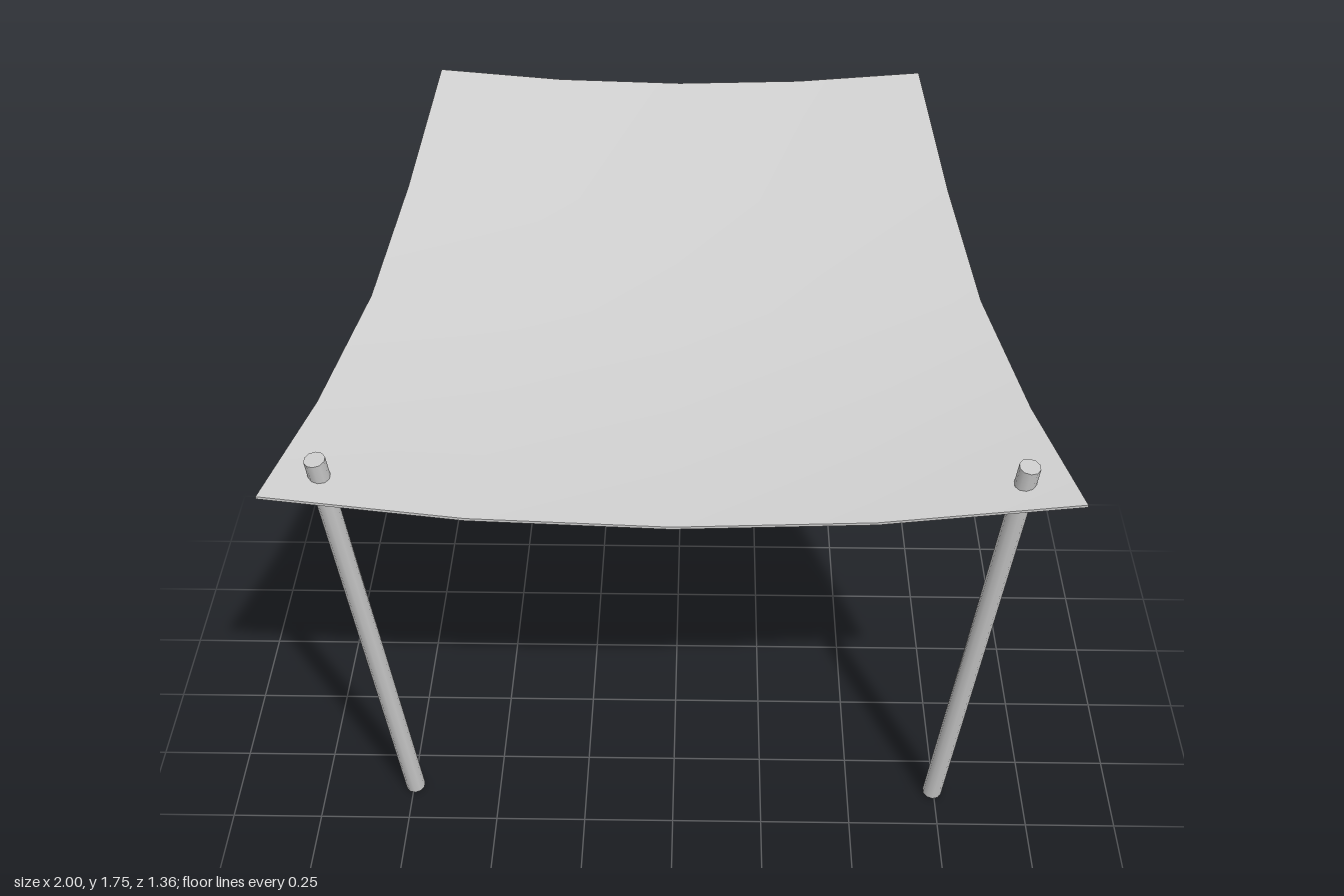
import * as THREE from 'three';

const material = new THREE.MeshStandardMaterial({ color: 0xcccccc });

// Rows of the canopy from front to back: z, half width, edge height, middle height
const ROWS = [
  [0.68, 1.0, 1.28, 1.2],
  [0.34, 0.9, 1.325, 1.265],
  [0, 0.8, 1.43, 1.38],
  [-0.34, 0.733, 1.57, 1.527],
  [-0.68, 0.667, 1.755, 1.718],
];
const THICKNESS = 0.007;

// Thin sheet, sagging between its sides and rising towards the back
function makeCanopy() {
  const geometry = new THREE.BoxGeometry(2, 1, 4, 4, 1, 4);
  const p = geometry.attributes.position;
  for (let i = 0; i < p.count; i++) {
    const u = p.getX(i);
    const [z, halfWidth, edge, middle] = ROWS[Math.round(2 - p.getZ(i))];
    const top = middle + (edge - middle) * u * u;
    p.setXYZ(i, u * halfWidth, p.getY(i) > 0 ? top : top - THICKNESS, z);
  }
  geometry.computeVertexNormals();
  const mesh = new THREE.Mesh(geometry, material);
  mesh.name = 'canopy';
  return mesh;
}

// Leaning pole that pokes through a front corner of the canopy
function makePole(side) {
  const foot = new THREE.Vector3(side * 0.745, 0.006, 0.375);
  const head = new THREE.Vector3(side * 0.865, 1.335, 0.602);
  const axis = head.clone().sub(foot);
  const geometry = new THREE.CylinderGeometry(0.027, 0.027, axis.length(), 10);
  const mesh = new THREE.Mesh(geometry, material);
  mesh.position.copy(foot).add(head).multiplyScalar(0.5);
  mesh.quaternion.setFromUnitVectors(new THREE.Vector3(0, 1, 0), axis.normalize());
  mesh.name = side > 0 ? 'leftPole' : 'rightPole';
  return mesh;
}

export function createModel() {
  const group = new THREE.Group();
  group.name = 'awning';
  group.add(makeCanopy(), makePole(1), makePole(-1));
  return group;
}
